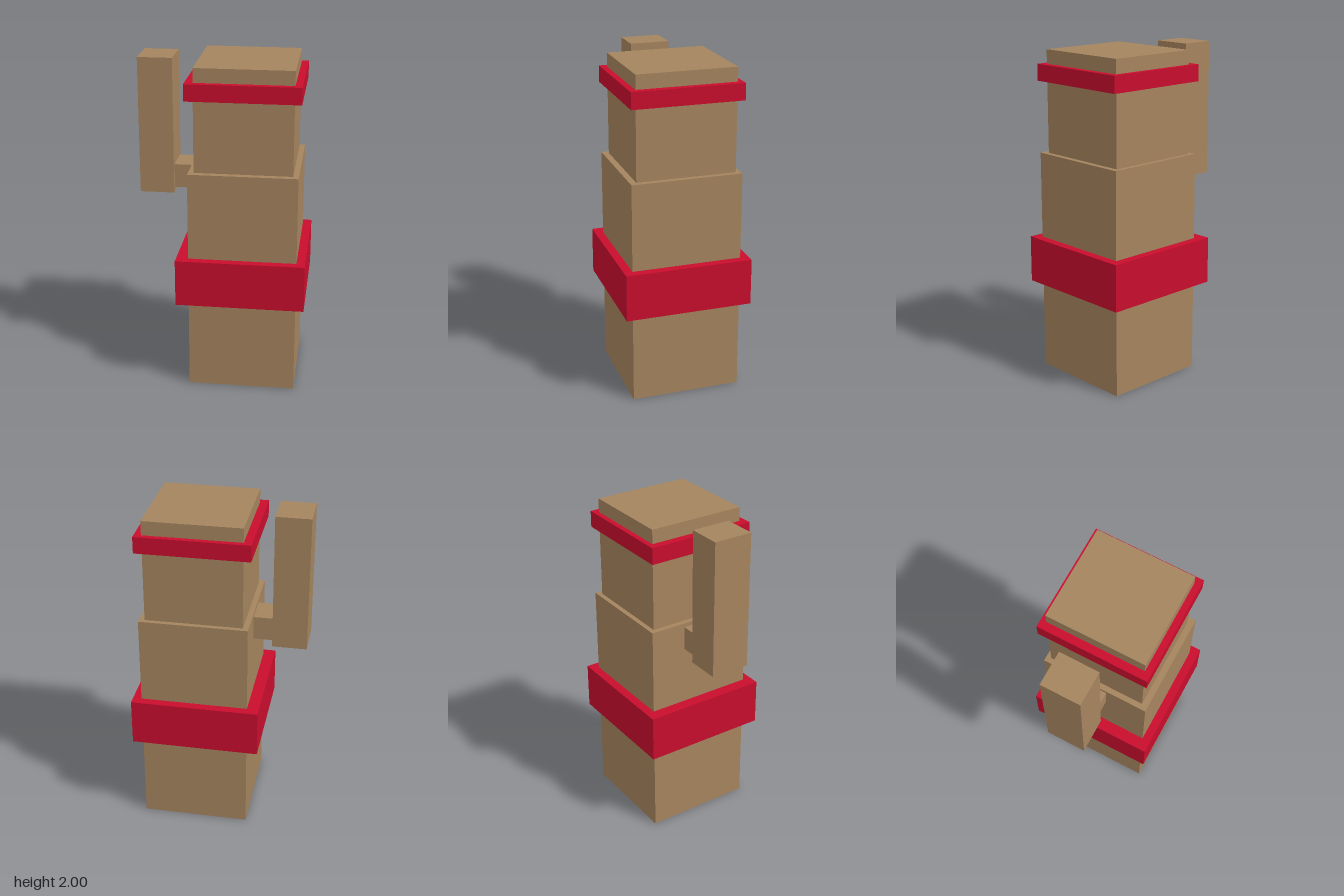
import * as THREE from 'three';

const tan = new THREE.MeshStandardMaterial({ color: 0xa5845e });
const red = new THREE.MeshStandardMaterial({ color: 0xc80d2d });

// Box spanning the given [min, max] range on each axis
function block(name, material, [x0, x1], [y0, y1], [z0, z1]) {
  const mesh = new THREE.Mesh(new THREE.BoxGeometry(x1 - x0, y1 - y0, z1 - z0), material);
  mesh.position.set((x0 + x1) / 2, (y0 + y1) / 2, (z0 + z1) / 2);
  mesh.name = name;
  return mesh;
}

export function createModel() {
  const model = new THREE.Group();
  model.name = 'blockFigure';

  // Stacked body and head, each wrapped by a wider band
  model.add(
    block('body', tan, [-0.19, 0.456], [0, 1.37], [-0.334, 0.333]),
    block('belt', red, [-0.262, 0.508], [0.557, 0.842], [-0.387, 0.385]),
    block('head', tan, [-0.157, 0.423], [1.37, 1.99], [-0.305, 0.295]),
    block('headband', red, [-0.205, 0.465], [1.805, 1.905], [-0.337, 0.333])
  );

  // Raised arm on the right side, joined to the body by a short stub
  const arm = new THREE.Group();
  arm.name = 'rightArm';
  arm.add(
    block('shoulder', tan, [-0.306, -0.19], [1.2, 1.345], [-0.112, 0.078]),
    block('forearm', tan, [-0.513, -0.306], [1.172, 2], [-0.137, 0.104])
  );
  model.add(arm);

  return model;
}
